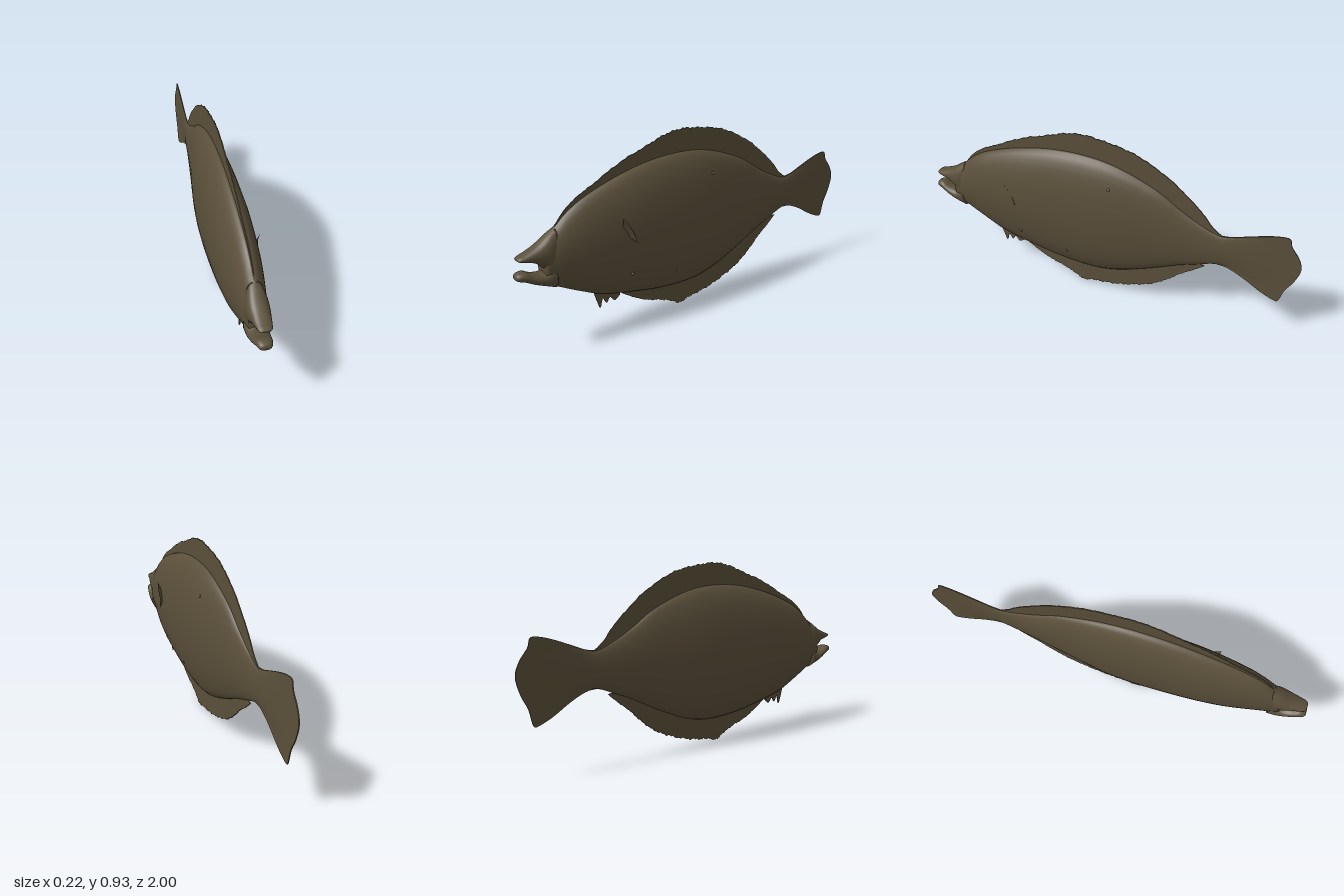
import * as THREE from 'three';

const CX = -0.012; // midplane of the fish

const skin = new THREE.MeshStandardMaterial({ color: 0x5a4f3a, side: THREE.DoubleSide });
skin.name = 'olive brown skin';

// Smooth loft along z through rows of [z, bottom, top, halfWidth]; p > 1 sharpens top and bottom, p < 1 squares them
function loft(name, rows, p, steps = 4, sides = 36) {
  const heights = new THREE.CatmullRomCurve3(rows.map(r => new THREE.Vector3(r[0], r[1], r[2])), false, 'catmullrom');
  const widths = new THREE.CatmullRomCurve3(rows.map(r => new THREE.Vector3(r[3], 0, 0)), false, 'catmullrom');
  const n = (rows.length - 1) * steps;
  const pos = [], idx = [];
  for (let i = 0; i <= n; i++) {
    const { x: z, y: bottom, z: top } = heights.getPoint(i / n);
    const w = widths.getPoint(i / n).x;
    for (let j = 0; j < sides; j++) {
      const a = (j / sides) * Math.PI * 2, c = Math.cos(a);
      pos.push(CX + w * Math.sign(c) * Math.abs(c) ** p, (bottom + top) / 2 + (top - bottom) / 2 * Math.sin(a), z);
      if (i === n) continue;
      const k = (j + 1) % sides, o = i * sides;
      idx.push(o + j, o + sides + j, o + k, o + k, o + sides + j, o + sides + k);
    }
  }
  // end caps
  const end = n * sides, front = (n + 1) * sides;
  const first = rows[0], last = rows[rows.length - 1];
  pos.push(CX, (first[1] + first[2]) / 2, first[0], CX, (last[1] + last[2]) / 2, last[0]);
  for (let j = 0; j < sides; j++) {
    const k = (j + 1) % sides;
    idx.push(front, j, k, front + 1, end + k, end + j);
  }
  const g = new THREE.BufferGeometry();
  g.setAttribute('position', new THREE.Float32BufferAttribute(pos, 3));
  g.setIndex(idx);
  g.computeVertexNormals();
  return named(name, g);
}

function named(name, geometry) {
  const m = new THREE.Mesh(geometry, skin);
  m.name = name;
  return m;
}

// Thin upright fin: a smooth outer edge with optional fraying, closed by an inner edge hidden in the body
function fin(name, outer, inner, fray = 0, thickness = 0.005) {
  const edge = new THREE.SplineCurve(outer.map(p => new THREE.Vector2(...p))).getPoints(outer.length * 8);
  const last = edge.length - 1;
  edge.forEach((p, i) => {
    const rough = Math.sin(i * 2.4) * 0.6 + Math.sin(i * 5.3) * 0.4;
    p.y += fray * rough * Math.sin(Math.PI * i / last);
  });
  const shape = new THREE.Shape([...edge, ...inner.map(p => new THREE.Vector2(...p))]);
  const g = new THREE.ExtrudeGeometry(shape, { depth: thickness, bevelEnabled: false });
  g.rotateY(-Math.PI / 2);
  g.translate(CX + thickness / 2, 0, 0);
  return named(name, g);
}

export function createModel() {
  const fish = new THREE.Group();
  fish.name = 'flatfish';

  // Deep, thin body tapering into the tail
  fish.add(loft('body', [
    [0.87, 0.345, 0.55, 0.042], [0.8, 0.312, 0.6, 0.058], [0.75, 0.285, 0.645, 0.066],
    [0.68, 0.25, 0.69, 0.077], [0.6, 0.213, 0.725, 0.086], [0.5, 0.185, 0.76, 0.094],
    [0.4, 0.165, 0.787, 0.098], [0.3, 0.145, 0.807, 0.098], [0.2, 0.133, 0.818, 0.097],
    [0.1, 0.128, 0.82, 0.095], [0, 0.135, 0.812, 0.09], [-0.1, 0.16, 0.79, 0.08],
    [-0.2, 0.2, 0.755, 0.066], [-0.3, 0.245, 0.71, 0.053], [-0.4, 0.295, 0.645, 0.04],
    [-0.5, 0.337, 0.59, 0.028], [-0.6, 0.375, 0.552, 0.018], [-0.68, 0.375, 0.565, 0.011],
    [-0.8, 0.325, 0.605, 0.006], [-0.9, 0.3, 0.6, 0.002],
  ], 1.1));

  // Open jaws
  fish.add(loft('upperJaw', [
    [0.985, 0.489, 0.498, 0.02], [0.975, 0.483, 0.505, 0.029], [0.95, 0.476, 0.513, 0.036],
    [0.91, 0.462, 0.529, 0.043], [0.88, 0.437, 0.545, 0.049], [0.84, 0.4, 0.573, 0.052], [0.8, 0.37, 0.598, 0.045],
  ], 0.75));
  fish.add(loft('lowerJaw', [
    [1, 0.404, 0.421, 0.018], [0.99, 0.396, 0.43, 0.029], [0.96, 0.385, 0.433, 0.038],
    [0.92, 0.364, 0.413, 0.044], [0.87, 0.342, 0.408, 0.049], [0.82, 0.32, 0.44, 0.05],
  ], 0.75));

  // Long fins along the back and belly
  fish.add(fin('dorsalFin', [
    [0.8, 0.598], [0.75, 0.66], [0.68, 0.712], [0.6, 0.752], [0.45, 0.828], [0.3, 0.882], [0.2, 0.917],
    [0.1, 0.932], [0, 0.923], [-0.1, 0.907], [-0.2, 0.875], [-0.35, 0.792], [-0.5, 0.665], [-0.56, 0.595], [-0.61, 0.555],
  ], [[-0.6, 0.5], [-0.4, 0.6], [-0.2, 0.7], [0.1, 0.76], [0.4, 0.72], [0.6, 0.66], [0.75, 0.58]], 0.005));
  fish.add(fin('analFin', [
    [0.47, 0.175], [0.4, 0.13], [0.32, 0.09], [0.24, 0.065], [0.17, 0.035], [0.12, 0.01], [0.06, 0.025], [0, 0.032],
    [-0.1, 0.053], [-0.2, 0.088], [-0.28, 0.125], [-0.36, 0.185], [-0.43, 0.25], [-0.49, 0.295], [-0.545, 0.342],
  ], [[-0.5, 0.35], [-0.4, 0.35], [-0.2, 0.26], [0.1, 0.2], [0.4, 0.22]], 0.007));

  // Small frayed fin under the throat
  fish.add(fin('pelvicFin', [
    [0.62, 0.22], [0.605, 0.17], [0.59, 0.135], [0.575, 0.18], [0.555, 0.15], [0.535, 0.175], [0.51, 0.15], [0.48, 0.17],
  ], [[0.48, 0.22], [0.6, 0.25]]));

  // Fan-shaped tail
  fish.add(fin('tailFin', [
    [-0.6, 0.553], [-0.66, 0.562], [-0.74, 0.592], [-0.82, 0.621], [-0.88, 0.637], [-0.925, 0.637], [-0.94, 0.595],
    [-0.98, 0.54], [-1, 0.478], [-0.98, 0.4], [-0.945, 0.33], [-0.925, 0.258], [-0.9, 0.252], [-0.83, 0.282],
    [-0.74, 0.335], [-0.66, 0.37], [-0.6, 0.376],
  ], []));

  // Single side fin standing off the left flank
  const side = new THREE.BufferGeometry();
  side.setAttribute('position', new THREE.Float32BufferAttribute([
    0.07, 0.535, 0.5, 0.096, 0.6, 0.508, 0.102, 0.565, 0.48, 0.1, 0.525, 0.46, 0.108, 0.468, 0.44, 0.078, 0.5, 0.475,
  ], 3));
  side.setIndex([0, 2, 1, 0, 3, 2, 0, 5, 3, 5, 4, 3]);
  side.computeVertexNormals();
  fish.add(named('pectoralFin', side));

  // Small nodules on the left flank
  [[0.052, 0.243, 0.185], [0.064, 0.3, 0.45], [0.045, 0.695, -0.05]].forEach(p => {
    const nodule = named('nodule', new THREE.SphereGeometry(0.009, 10, 8));
    nodule.position.set(...p);
    fish.add(nodule);
  });

  return fish;
}
